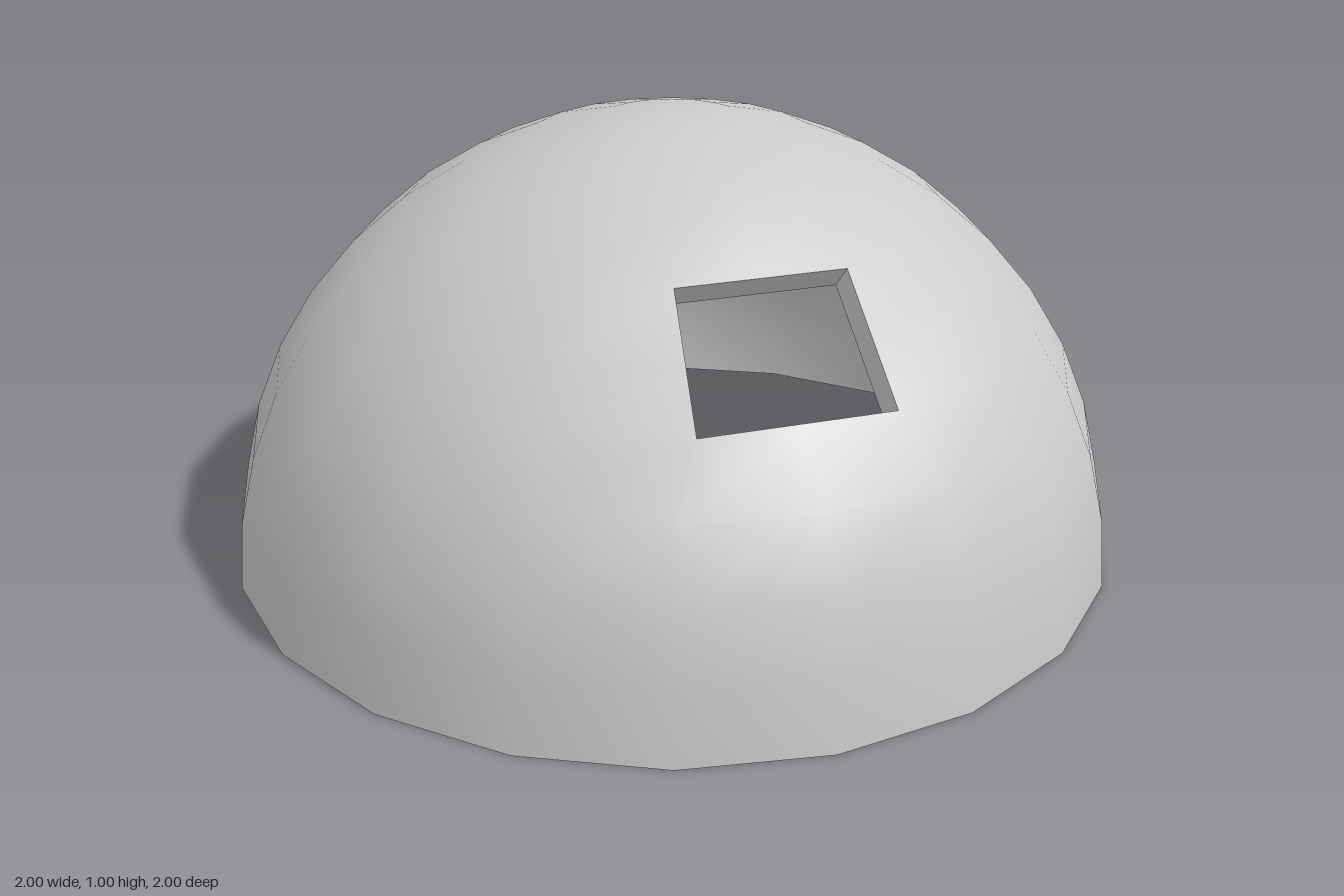
import * as THREE from 'three';

const SEGMENTS = 20, RINGS = 10, INNER = 0.945;
const material = new THREE.MeshStandardMaterial({ color: 0xcccccc });

// Window corners on the outer skin; its edge points lie on straight lines between them
const windowPoint = (u, v) => new THREE.Vector3(
  u * THREE.MathUtils.lerp(0.205, 0.18, v),
  THREE.MathUtils.lerp(0.588, 0.809, v),
  THREE.MathUtils.lerp(0.769, 0.559, v));

// Point of the dome grid: ring counts up from the base, seg turns from the front
function domePoint(ring, seg) {
  const u = seg === SEGMENTS - 1 ? -1 : seg;
  if (ring >= 4 && ring <= 6 && u <= 1) return windowPoint(u, (ring - 4) / 2);
  const lat = (ring / RINGS) * Math.PI / 2, a = (seg / SEGMENTS) * Math.PI * 2;
  return new THREE.Vector3(Math.sin(a) * Math.cos(lat), Math.sin(lat), Math.cos(a) * Math.cos(lat));
}

// Smooth dome skin with the window left open
function shell(scale, inward) {
  const positions = [], index = [];
  for (let r = 0; r < RINGS; r++)
    for (let s = 0; s < SEGMENTS; s++) positions.push(...domePoint(r, s).multiplyScalar(scale));
  positions.push(0, scale, 0);
  const tri = (a, b, c) => index.push(...(inward ? [a, c, b] : [a, b, c]));
  for (let r = 0; r < RINGS; r++)
    for (let s = 0; s < SEGMENTS; s++) {
      if ((r === 4 || r === 5) && (s === 0 || s === SEGMENTS - 1)) continue;
      const next = (s + 1) % SEGMENTS;
      const a = r * SEGMENTS + s, b = r * SEGMENTS + next;
      if (r === RINGS - 1) { tri(a, b, RINGS * SEGMENTS); continue; }
      tri(a, b, b + SEGMENTS);
      tri(a, b + SEGMENTS, a + SEGMENTS);
    }
  const geometry = new THREE.BufferGeometry();
  geometry.setAttribute('position', new THREE.Float32BufferAttribute(positions, 3));
  geometry.setIndex(index);
  geometry.computeVertexNormals();
  return geometry;
}

// Four flat walls through the thickness of the dome
function windowWalls() {
  const loop = [windowPoint(-1, 0), windowPoint(1, 0), windowPoint(1, 1), windowPoint(-1, 1)];
  const positions = [];
  loop.forEach((a, i) => {
    const b = loop[(i + 1) % 4];
    const c = b.clone().multiplyScalar(INNER), d = a.clone().multiplyScalar(INNER);
    for (const p of [a, b, c, a, c, d]) positions.push(...p);
  });
  const geometry = new THREE.BufferGeometry();
  geometry.setAttribute('position', new THREE.Float32BufferAttribute(positions, 3));
  geometry.computeVertexNormals();
  return geometry;
}

export function createModel() {
  const group = new THREE.Group();
  group.name = 'dome';
  const add = (name, geometry) => {
    const mesh = new THREE.Mesh(geometry, material);
    mesh.name = name;
    group.add(mesh);
  };
  add('outerShell', shell(1, false));
  add('innerShell', shell(INNER, true));
  add('windowFrame', windowWalls());
  // Flat underside joining both skins
  add('baseRim', new THREE.RingGeometry(INNER, 1, SEGMENTS, 1).rotateX(Math.PI / 2));
  return group;
}
